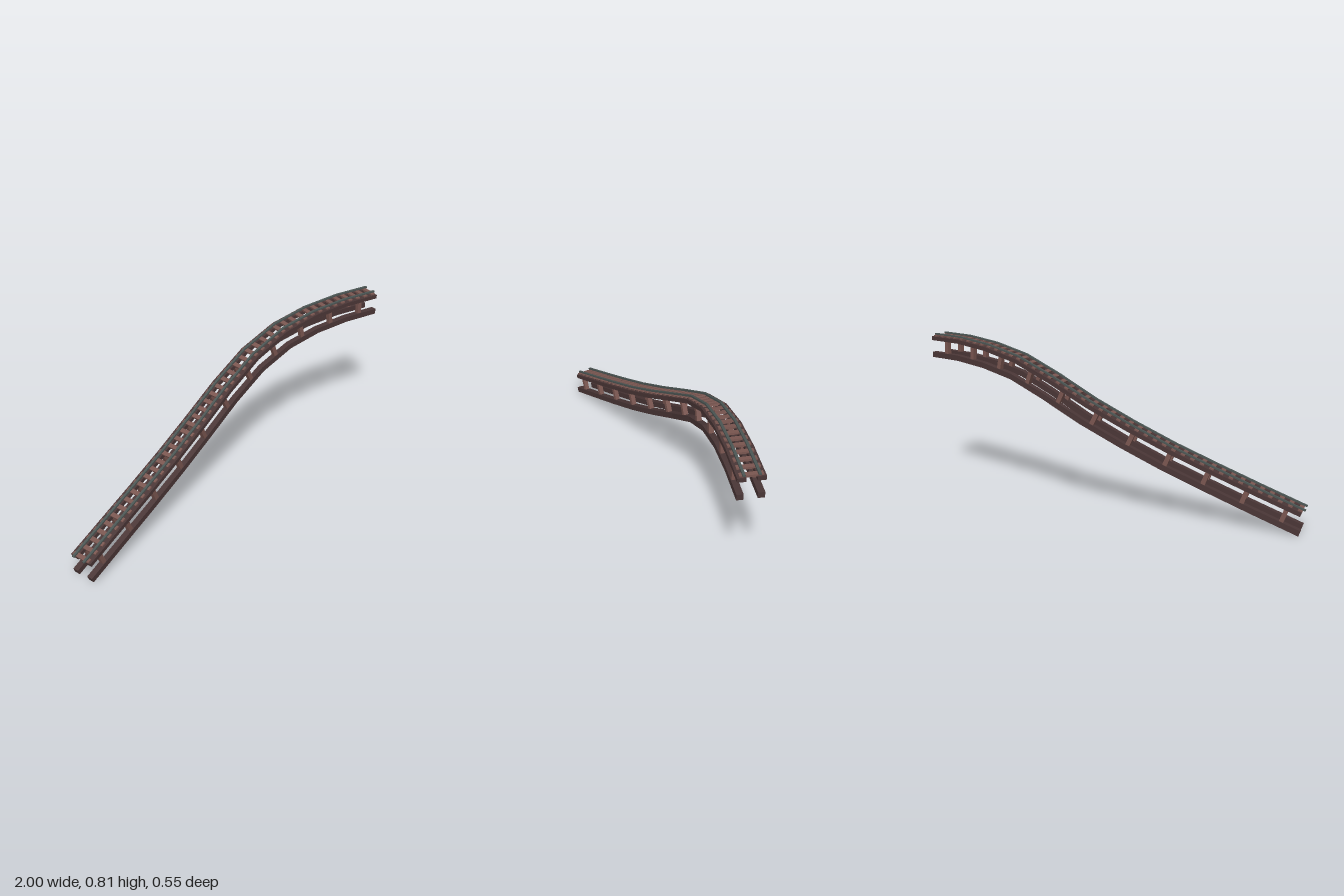
import * as THREE from 'three';

const V = (x, y, z) => new THREE.Vector3(x, y, z);

// Track line at the top of the ties, from the low end to the high end
const JOINTS = [
  V(-0.985, 0.117, 0.224), V(-0.79, 0.195, 0.152), V(-0.59, 0.277, 0.08),
  V(-0.39, 0.362, 0.007), V(-0.19, 0.457, -0.065), V(0, 0.555, -0.132),
  V(0.2, 0.662, -0.182), V(0.4, 0.742, -0.205), V(0.6, 0.782, -0.215),
  V(0.8, 0.799, -0.215), V(1, 0.798, -0.212),
];
const LAST = JOINTS.length - 1;

// Travel direction, side and up at each joint
const TANGENTS = JOINTS.map((p, i) =>
  JOINTS[Math.min(i + 1, LAST)].clone().sub(JOINTS[Math.max(i - 1, 0)]).normalize());

function axes(tangent) {
  const side = tangent.clone().cross(V(0, 1, 0)).normalize();
  const up = side.clone().cross(tangent).normalize();
  return { side, up };
}

// Placement matrix at a distance along the track
function frameAt(distance) {
  let i = 0;
  let rest = distance;
  while (i < LAST - 1 && rest > JOINTS[i].distanceTo(JOINTS[i + 1])) {
    rest -= JOINTS[i].distanceTo(JOINTS[i + 1]);
    i++;
  }
  const k = rest / JOINTS[i].distanceTo(JOINTS[i + 1]);
  const tangent = TANGENTS[i].clone().lerp(TANGENTS[i + 1], k).normalize();
  const { side, up } = axes(tangent);
  return new THREE.Matrix4().makeBasis(tangent, up, side)
    .setPosition(JOINTS[i].clone().lerp(JOINTS[i + 1], k));
}

// Box bent along the track; startShift moves its low end along the track
function trackBeam(name, material, offset, bottom, top, width, startShift) {
  const geo = new THREE.BoxGeometry(1, top - bottom, width, LAST, 1, 1);
  const pos = geo.attributes.position;
  for (let v = 0; v < pos.count; v++) {
    const i = Math.round((pos.getX(v) + 0.5) * LAST);
    const { side, up } = axes(TANGENTS[i]);
    const p = JOINTS[i].clone()
      .addScaledVector(up, pos.getY(v) + (top + bottom) / 2)
      .addScaledVector(side, pos.getZ(v) + offset);
    if (i === 0) p.addScaledVector(TANGENTS[0], startShift);
    pos.setXYZ(v, p.x, p.y, p.z);
  }
  geo.computeVertexNormals();
  const mesh = new THREE.Mesh(geo, material);
  mesh.name = name;
  return mesh;
}

// Straight box placed in the track's frame
function trackBox(name, material, distance, size, height, offset) {
  const geo = new THREE.BoxGeometry(...size);
  geo.translate(0, height, offset);
  geo.applyMatrix4(frameAt(distance));
  const mesh = new THREE.Mesh(geo, material);
  mesh.name = name;
  return mesh;
}

export function createModel() {
  const model = new THREE.Group();
  model.name = 'elevatedTrack';
  const paint = (color) => new THREE.MeshStandardMaterial({ color, flatShading: true });
  const beamWood = paint(0x4a3636);
  const postWood = paint(0x7a5650);
  const steel = paint(0x4c5654);

  // Rails and stringers on both sides
  for (const s of [-1, 1]) {
    model.add(trackBeam('rail', steel, s * 0.033, 0, 0.008, 0.012, 0));
    model.add(trackBeam('upperBeam', beamWood, s * 0.042, -0.027, -0.007, 0.038, 0.012));
    model.add(trackBeam('lowerBeam', beamWood, s * 0.045, -0.118, -0.09, 0.03, -0.018));
  }

  // Posts between the stringers, in pairs
  const posts = new THREE.Group();
  posts.name = 'posts';
  for (let i = 0; i < 11; i++) {
    for (const s of [-1, 1]) {
      posts.add(trackBox('post', postWood, 0.08 + i * 0.2, [0.022, 0.07, 0.023], -0.058, s * 0.045));
    }
  }
  model.add(posts);

  // Cross ties under the rails
  const ties = new THREE.Group();
  ties.name = 'ties';
  for (let i = 0; i < 44; i++) {
    ties.add(trackBox('tie', postWood, 0.022 + i * 0.05, [0.022, 0.01, 0.102], -0.005, 0));
  }
  model.add(ties);

  return model;
}
